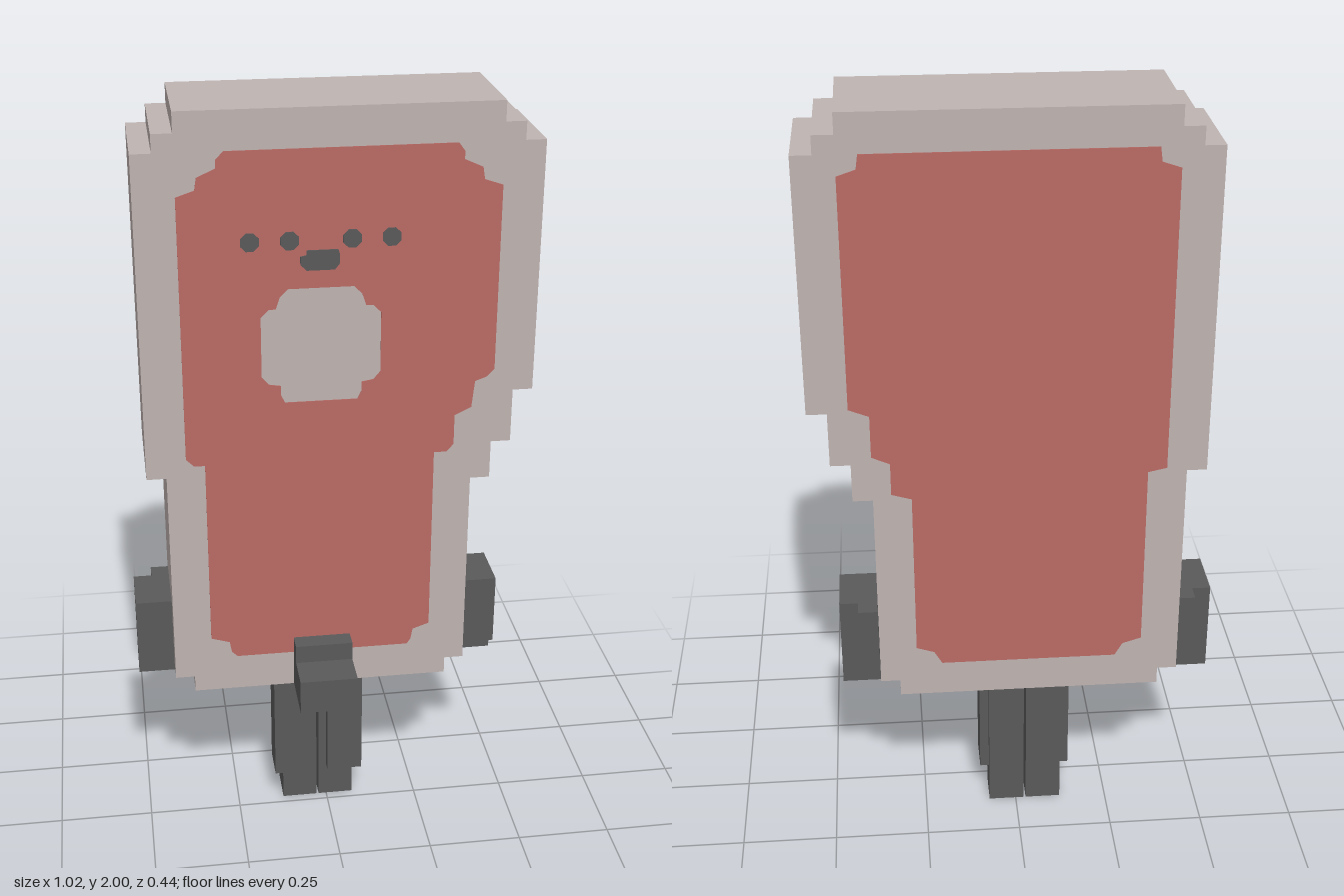
import * as THREE from 'three';

const CX = -0.025; // symmetry axis of the limbs
const Z_FRONT = 0.07, Z_BACK = -0.22;

export function createModel() {
  const group = new THREE.Group();
  const make = (name, color) => {
    const m = new THREE.MeshStandardMaterial({ color });
    m.name = name;
    return m;
  };
  const grey = make('warm grey', 0xbfb4b2);
  const red = make('dusty red', 0xba6a64);
  const dark = make('charcoal', 0x5a5a5a);

  const add = (parent, name, geometry, material) => {
    const mesh = new THREE.Mesh(geometry, material);
    mesh.name = name;
    parent.add(mesh);
    return mesh;
  };
  // Box from its limits on each axis
  const box = (parent, name, [x0, x1], [y0, y1], [z0, z1]) => {
    const g = new THREE.BoxGeometry(x1 - x0, y1 - y0, z1 - z0);
    g.translate((x0 + x1) / 2, (y0 + y1) / 2, (z0 + z1) / 2);
    return add(parent, name, g, dark);
  };
  const shapeOf = (pts) => new THREE.Shape(pts.map(([x, y]) => new THREE.Vector2(x, y)));
  // Slab of a flat outline between two depths
  const slab = (name, shape, z0, z1, material) => {
    const g = new THREE.ExtrudeGeometry(shape, { depth: z1 - z0, bevelEnabled: false });
    g.translate(0, 0, z0);
    return add(group, name, g, material);
  };

  // Stepped body
  slab('body', shapeOf([
    [-0.365, 2], [-0.365, 1.95], [-0.415, 1.95], [-0.415, 1.905], [-0.465, 1.905],
    [-0.465, 1.08], [-0.415, 1.08], [-0.415, 0.49], [-0.365, 0.49], [-0.365, 0.445],
    [0.31, 0.445], [0.31, 0.49], [0.36, 0.49], [0.36, 1.03], [0.41, 1.03], [0.41, 1.13],
    [0.46, 1.13], [0.46, 1.27], [0.51, 1.27], [0.51, 1.905], [0.46, 1.905], [0.46, 1.95],
    [0.41, 1.95], [0.41, 2],
  ]), Z_BACK, Z_FRONT, grey);

  // Front panel with a stepped hole for the belly spot
  const front = shapeOf([
    [-0.25, 1.905], [-0.27, 1.885], [-0.27, 1.865], [-0.315, 1.845], [-0.32, 1.815], [-0.365, 1.8],
    [-0.365, 1.13], [-0.345, 1.11], [-0.318, 1.11], [-0.318, 0.605], [-0.27, 0.59], [-0.265, 0.56],
    [-0.25, 0.545], [0.205, 0.545], [0.215, 0.56], [0.22, 0.59], [0.263, 0.605], [0.263, 1.11],
    [0.295, 1.11], [0.313, 1.13], [0.313, 1.21], [0.355, 1.23], [0.362, 1.3], [0.39, 1.31],
    [0.41, 1.33], [0.41, 1.8], [0.365, 1.815], [0.36, 1.845], [0.315, 1.865], [0.315, 1.885], [0.3, 1.905],
  ]);
  const corner = [[0.147, 1.34], [0.147, 1.495], [0.127, 1.515], [0.11, 1.515], [0.1, 1.545], [0.08, 1.565]];
  const spot = [
    [0.09, 1.27], [0.1, 1.29], [0.1, 1.315], [0.13, 1.32], ...corner,
  ];
  front.holes.push(new THREE.Path([
    ...spot.map(([x, y]) => new THREE.Vector2(CX + x, y)),
    ...spot.slice().reverse().map(([x, y]) => new THREE.Vector2(CX - x, y)),
  ]));
  slab('frontPanel', front, Z_FRONT - 0.002, Z_FRONT + 0.002, red);

  // Plain back panel
  slab('backPanel', shapeOf([
    [-0.315, 1.905], [-0.32, 1.87], [-0.365, 1.855], [-0.365, 1.09], [-0.318, 1.08], [-0.318, 0.59],
    [-0.27, 0.575], [-0.25, 0.54], [0.2, 0.54], [0.22, 0.575], [0.265, 0.59], [0.265, 1.03],
    [0.315, 1.045], [0.315, 1.13], [0.36, 1.15], [0.36, 1.26], [0.41, 1.28], [0.41, 1.855],
    [0.365, 1.87], [0.36, 1.905],
  ]), Z_BACK - 0.002, Z_BACK + 0.002, red);

  // Eyes and mouth
  for (const x of [-0.17, -0.075, 0.075, 0.17]) {
    const eye = add(group, 'eye', new THREE.CylinderGeometry(0.024, 0.024, 0.004, 8), dark);
    eye.geometry.rotateY(Math.PI / 8).rotateX(Math.PI / 2);
    eye.position.set(CX + x, 1.685, Z_FRONT + 0.003);
  }
  slab('mouth', shapeOf([
    [-0.06, 1.66], [-0.06, 1.648], [-0.075, 1.645], [-0.075, 1.625], [-0.06, 1.61],
    [0.008, 1.61], [0.02, 1.625], [0.02, 1.648], [0.016, 1.66],
  ]), Z_FRONT, Z_FRONT + 0.005, dark);

  // Stepped nub on the lower front
  box(group, 'frontNub', [-0.1, 0.05], [0.445, 0.54], [0.07, 0.215]);
  box(group, 'frontNubTop', [-0.1, 0.05], [0.54, 0.59], [0.07, 0.12]);

  // Mirrored arms and legs
  for (const side of [-1, 1]) {
    const span = (a, b) => [CX + side * a, CX + side * b].sort((p, q) => p - q);
    const arm = new THREE.Group();
    arm.name = side > 0 ? 'leftArm' : 'rightArm';
    box(arm, 'upperArm', span(0.386, 0.485), [0.49, 0.685], [-0.145, 0]);
    box(arm, 'armBack', span(0.386, 0.437), [0.49, 0.685], [-0.19, -0.145]);
    box(arm, 'hand', span(0.338, 0.485), [0.443, 0.49], [-0.145, -0.045]);
    const leg = new THREE.Group();
    leg.name = side > 0 ? 'leftLeg' : 'rightLeg';
    box(leg, 'shin', span(0.025, 0.122), [0.1, 0.445], [-0.098, 0]);
    box(leg, 'foot', span(0.003, 0.098), [0, 0.445], [-0.122, -0.025]);
    group.add(arm, leg);
  }
  return group;
}
